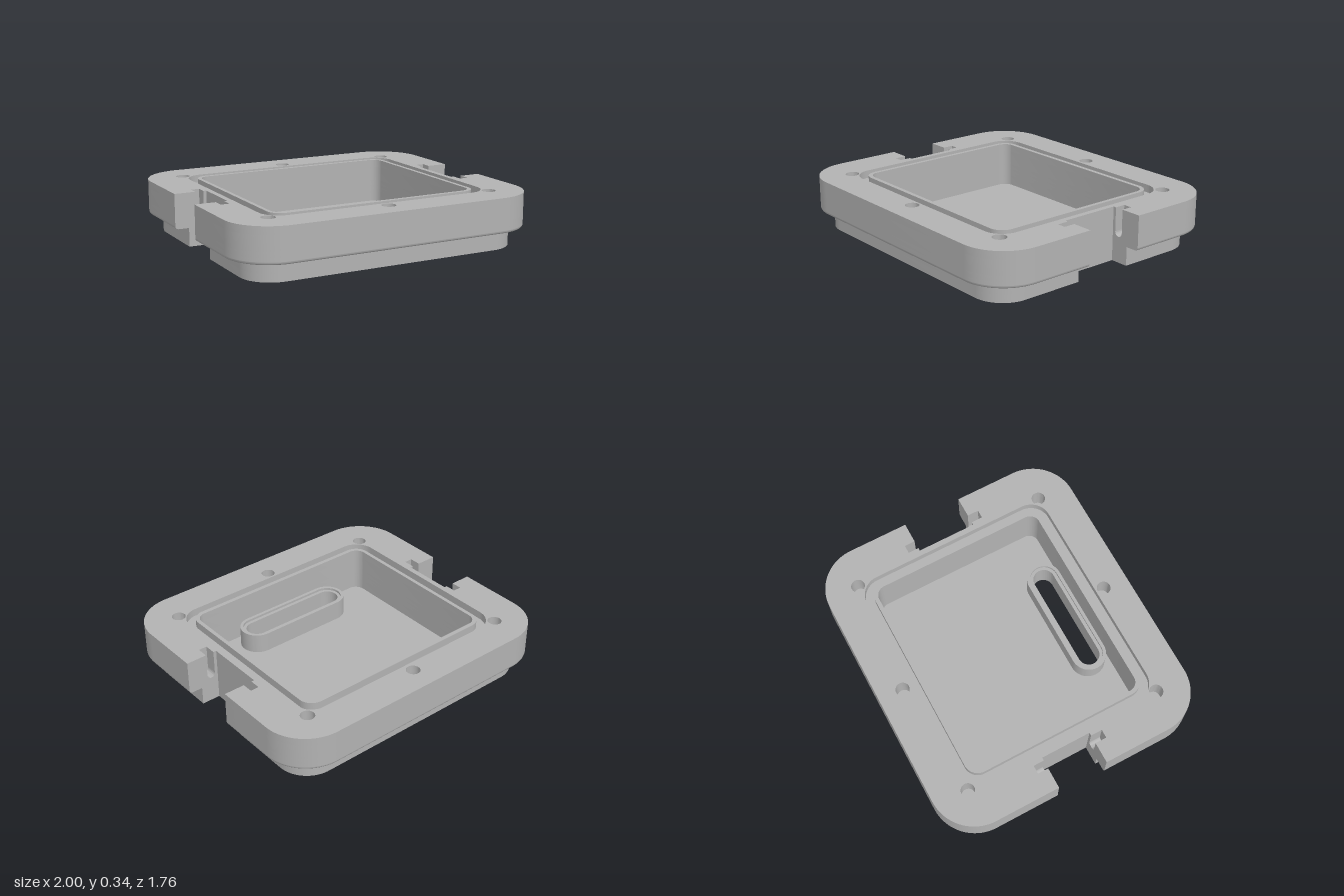
import * as THREE from 'three';
import { toCreasedNormals } from 'three/addons/utils/BufferGeometryUtils.js';

const grey = new THREE.MeshStandardMaterial({ color: 0xb2b2b2 });
grey.name = 'casing grey';

// Rounded rectangle in plan (plan y is -z); optional notches in both sides
function plan(w, d, r, notched = false, pins = false, Path = THREE.Shape) {
  const p = new Path();
  const side = (s, a, b, pa, pb) => {
    // s: +1 right side, -1 left side; a to b is the notch, pa and pb the pin slot ends
    p.lineTo(s * w, a);
    if (pins) [[0.865, a], [0.865, pa], [0.81, pa], [0.81, a]].forEach(([x, y]) => p.lineTo(s * x, y));
    p.lineTo(s * 0.79, a);
    p.lineTo(s * 0.79, b);
    if (pins) [[0.81, b], [0.81, pb], [0.865, pb], [0.865, b]].forEach(([x, y]) => p.lineTo(s * x, y));
    p.lineTo(s * w, b);
  };
  p.moveTo(w, -d + r);
  if (notched) side(1, -0.19, 0.2, -0.265, 0.27);
  p.lineTo(w, d - r);
  p.absarc(w - r, d - r, r, 0, Math.PI / 2);
  p.lineTo(-w + r, d);
  p.absarc(-w + r, d - r, r, Math.PI / 2, Math.PI);
  if (notched) side(-1, 0.17, -0.16, 0.24, -0.235);
  p.lineTo(-w, -d + r);
  p.absarc(-w + r, -d + r, r, Math.PI, Math.PI * 1.5);
  p.lineTo(w - r, -d);
  p.absarc(w - r, -d + r, r, Math.PI * 1.5, Math.PI * 2);
  return p;
}

// Long rounded slot in plan
function slot(halfLength, r, Path = THREE.Path) {
  const p = new Path(), c = halfLength - r, y = -0.45;
  p.absarc(c, y, r, -Math.PI / 2, Math.PI / 2);
  p.absarc(-c, y, r, Math.PI / 2, Math.PI * 1.5);
  p.closePath();
  return p;
}

const circle = (x, y, r) => new THREE.Path().absarc(x, y, r, 0, Math.PI * 2);

// Rounds the lower outside edge of the upper body
function roundLowerEdge(geometry, w, d, r, y0, fillet) {
  const pos = geometry.attributes.position;
  for (let i = 0; i < pos.count; i++) {
    const x = pos.getX(i), y = pos.getY(i), z = pos.getZ(i);
    const h = y - y0;
    if (h >= fillet) continue;
    const qx = Math.abs(x) - (w - r), qz = Math.abs(z) - (d - r);
    const nx = Math.max(qx, 0), nz = Math.max(qz, 0);
    const edge = qx > 0 || qz > 0 ? Math.hypot(nx, nz) : 0;
    if (edge < r - 0.004) continue;
    const inset = fillet - Math.sqrt(Math.max(0, fillet ** 2 - (fillet - h) ** 2));
    pos.setXYZ(i, x - Math.sign(x) * nx / edge * inset, y, z - Math.sign(z) * nz / edge * inset);
  }
}

export function createModel() {
  const group = new THREE.Group();

  // A slab of a plan shape between two heights
  function slab(name, shape, holes, y0, y1, steps = 1, rule = null) {
    shape.holes.push(...holes);
    const g = new THREE.ExtrudeGeometry(shape, { depth: y1 - y0, bevelEnabled: false, curveSegments: 16, steps });
    g.rotateX(-Math.PI / 2);
    g.translate(0, y0, 0);
    if (rule) rule(g);
    const mesh = new THREE.Mesh(toCreasedNormals(g, 0.6), grey);
    mesh.name = name;
    group.add(mesh);
  }

  const cavity = () => plan(0.675, 0.58, 0.065, false, false, THREE.Path);
  const screwHoles = () => [[-0.755, 0.66], [0.755, 0.66], [0, 0.72], [-0.755, -0.655], [0.755, -0.655], [0, -0.715]]
    .map(([x, y]) => circle(x, y, 0.044));
  const lower = () => plan(0.91, 0.795, 0.2, true);
  const upper = (pins) => plan(1, 0.88, 0.285, true, pins);

  // Lower body: floor and walls
  slab('floor', lower(), [slot(0.365, 0.07)], 0, 0.05);
  slab('lowerWall', lower(), [cavity()], 0.05, 0.12);

  // Upper body, with pin slots, screw holes and the seal groove opening one above another
  slab('upperBodyEdge', upper(false), [cavity()], 0.12, 0.14, 5, (g) => roundLowerEdge(g, 1, 0.88, 0.285, 0.12, 0.02));
  slab('upperBodyBase', upper(false), [cavity()], 0.14, 0.165);
  slab('pinSlotLayer', upper(true), [cavity()], 0.165, 0.2);
  slab('screwHoleLayer', upper(true), [cavity(), ...screwHoles()], 0.2, 0.295);
  slab('deck', upper(true), [plan(0.755, 0.66, 0.13, false, false, THREE.Path), ...screwHoles()], 0.295, 0.345);
  slab('sealLip', plan(0.7, 0.607, 0.09), [cavity()], 0.295, 0.345);

  // Raised collar around the floor slot, with a stepped inner edge
  slab('slotCollar', slot(0.405, 0.113, THREE.Shape), [slot(0.385, 0.092)], 0.05, 0.18);
  slab('slotLedge', slot(0.385, 0.092, THREE.Shape), [slot(0.365, 0.07)], 0.05, 0.165);

  // Round bottoms of the pin slots
  const r = 0.0275;
  const cradle = new THREE.Shape();
  cradle.moveTo(-r, 0);
  cradle.lineTo(r, 0);
  cradle.lineTo(r, r);
  cradle.absarc(0, r, r, 0, -Math.PI, true);
  for (const [x, z0, z1] of [[0.8375, 0.19, 0.265], [0.8375, -0.27, -0.2], [-0.8375, 0.16, 0.235], [-0.8375, -0.24, -0.17]]) {
    const g = new THREE.ExtrudeGeometry(cradle, { depth: z1 - z0, bevelEnabled: false });
    const mesh = new THREE.Mesh(toCreasedNormals(g, 0.6), grey);
    mesh.position.set(x, 0.165, z0);
    mesh.name = 'pinSlotBottom';
    group.add(mesh);
  }
  return group;
}
